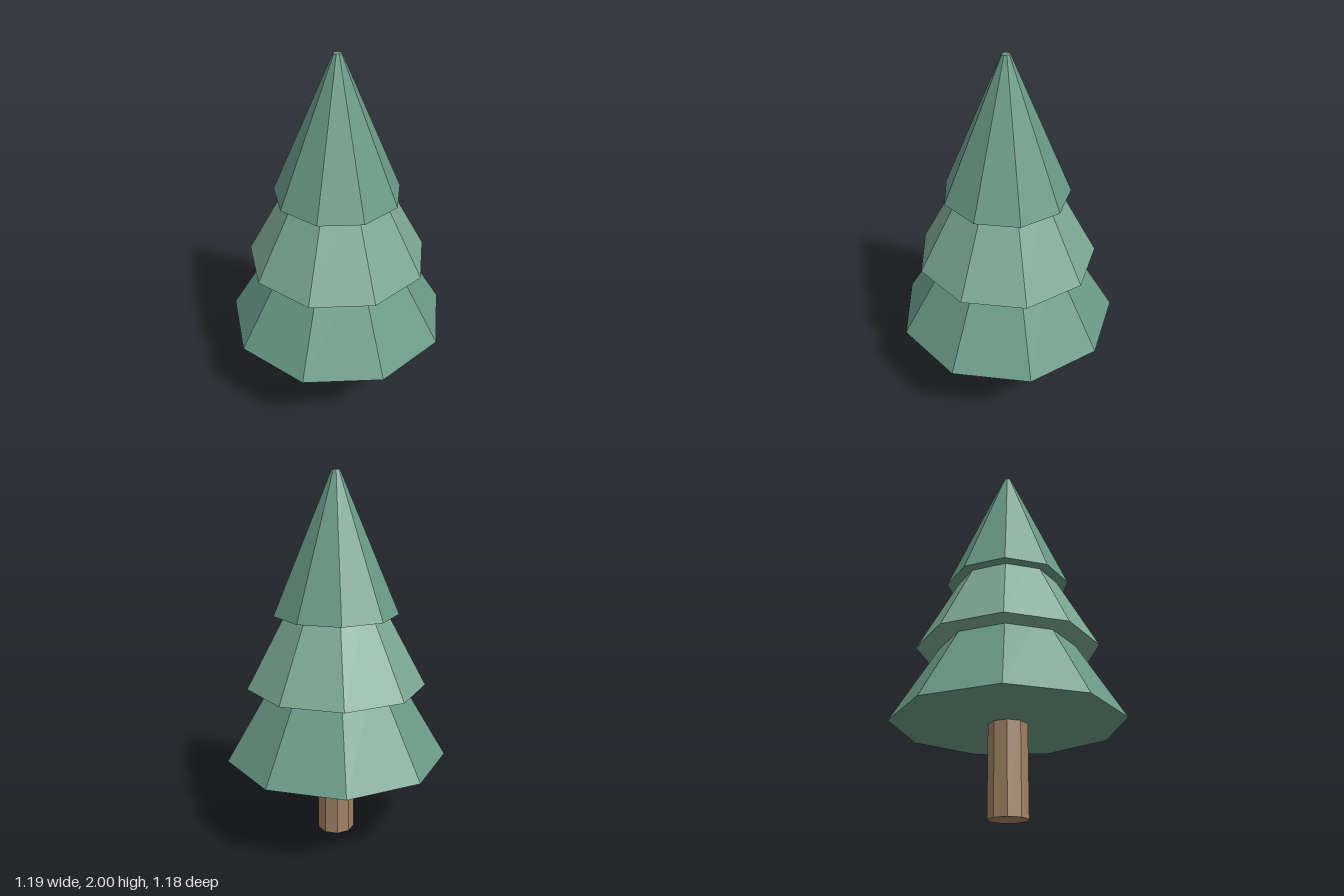
import * as THREE from 'three';

const SIDES = 9;
const CENTRE_Z = 0.016; // a nine-sided outline is centred by its bounds

// Nine-sided tapered prism standing on y0, with one corner pointing to the back
function taper(name, y0, y1, bottomRadius, topRadius, color) {
  const geometry = new THREE.CylinderGeometry(
    topRadius, bottomRadius, y1 - y0, SIDES, 1, false, Math.PI);
  const mesh = new THREE.Mesh(
    geometry, new THREE.MeshStandardMaterial({ color, flatShading: true }));
  mesh.position.set(0, (y0 + y1) / 2, CENTRE_Z);
  mesh.name = name;
  return mesh;
}

export function createModel() {
  const tree = new THREE.Group();
  tree.name = 'pineTree';
  const green = 0x6a9a88, lightGreen = 0x7ca893, brown = 0xa08264;

  tree.add(
    // Trunk runs up into the lowest tier
    taper('trunk', 0, 0.5, 0.103, 0.103, brown),
    // Foliage tiers, each tucked under the next
    taper('lowerFoliage', 0.472, 1.0, 0.606, 0.289, green),
    taper('middleFoliage', 0.873, 1.38, 0.487, 0.213, lightGreen),
    taper('upperFoliage', 1.26, 2, 0.337, 0.021, green),
  );
  return tree;
}
